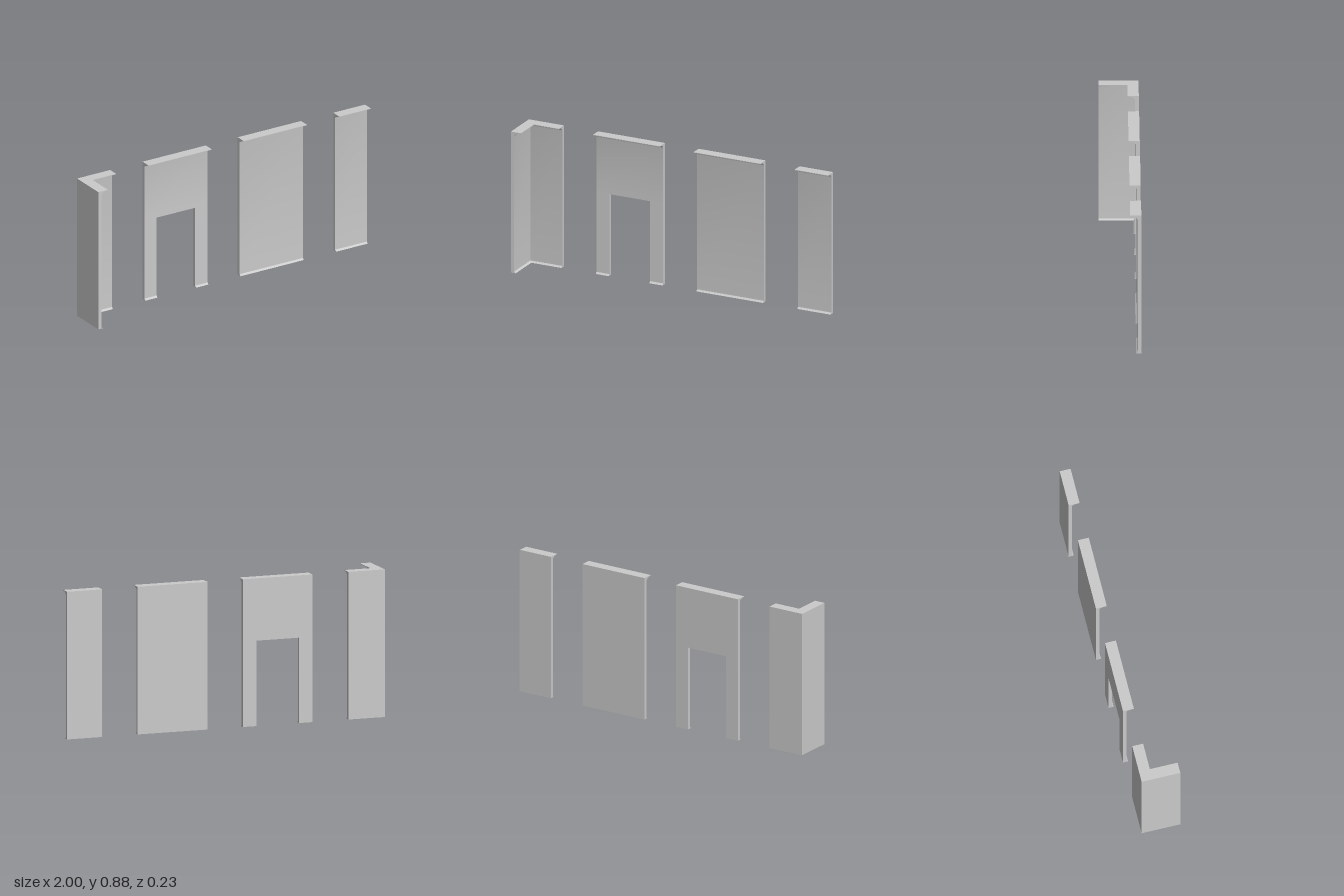
import * as THREE from 'three';
import { toCreasedNormals } from 'three/addons/utils/BufferGeometryUtils.js';

const HEIGHT = 0.882, BACK = -0.117, WALL = 0.021, LIP = 0.066, DOOR_TOP = 0.51;
const material = new THREE.MeshStandardMaterial({ color: 0xcccccc });

// Profile pieces as [depth from the back, height], counter-clockwise
const skirting = [[0, 0], [0.031, 0], [WALL, 0.01]];
const cornice = [];
for (let i = 0; i <= 8; i++) {
  const a = (i / 8) * Math.PI / 2;
  cornice.push([LIP - (LIP - WALL) * Math.cos(a), 0.855 + 0.024 * Math.sin(a)]);
}
cornice.push([LIP, HEIGHT], [0, HEIGHT]);
const fullProfile = [...skirting, ...cornice];
const jambProfile = [[0, DOOR_TOP], ...skirting, [WALL, DOOR_TOP]];
const headerProfile = [[WALL, DOOR_TOP], ...cornice, [0, DOOR_TOP]];

// Sweeps a profile through stations, each mapping depth to [x, z];
// an open sweep leaves out the profile's closing edge
function sweep(name, profile, stations, open = false) {
  const pos = [];
  const n = profile.length;
  const put = (s, i) => {
    const [d, y] = profile[i % n];
    const [x, z] = stations[s](d);
    pos.push(x, y, z);
  };
  for (let s = 0; s < stations.length - 1; s++) {
    for (let i = 0; i < (open ? n - 1 : n); i++) {
      put(s, i); put(s + 1, i + 1); put(s, i + 1);
      put(s, i); put(s + 1, i); put(s + 1, i + 1);
    }
  }
  // End caps
  const outline = profile.map(([d, y]) => new THREE.Vector2(d, y));
  for (const [a, b, c] of THREE.ShapeUtils.triangulateShape(outline, [])) {
    put(0, a); put(0, b); put(0, c);
    const e = stations.length - 1;
    put(e, a); put(e, c); put(e, b);
  }
  const geometry = new THREE.BufferGeometry();
  geometry.setAttribute('position', new THREE.Float32BufferAttribute(pos, 3));
  const mesh = new THREE.Mesh(toCreasedNormals(geometry, 0.5), material);
  mesh.name = name;
  return mesh;
}

// Station across a wall that runs along x
const at = (x) => (d) => [x, BACK + d];

export function createModel() {
  const group = new THREE.Group();
  group.name = 'wallPanels';

  // Corner wall with mitred skirting and cornice
  group.add(sweep('cornerWall', fullProfile, [
    (d) => [-1 + d, -BACK],
    (d) => [-1 + d, BACK + d],
    at(-0.77),
  ]));

  // Doorway wall: two jambs, the wall above and the underside of the opening
  const doorway = new THREE.Group();
  doorway.name = 'doorwayWall';
  const [x0, x1, x2, x3] = [-0.545, -0.46, -0.193, -0.106];
  doorway.add(
    sweep('rightJamb', jambProfile, [at(x0), at(x1)], true),
    sweep('leftJamb', jambProfile, [at(x2), at(x3)], true),
    sweep('doorHeader', headerProfile, [at(x0), at(x3)], true),
  );
  const lintel = new THREE.Mesh(new THREE.PlaneGeometry(x2 - x1, WALL).rotateX(Math.PI / 2), material);
  lintel.name = 'lintelUnderside';
  lintel.position.set((x1 + x2) / 2, DOOR_TOP, BACK + WALL / 2);
  doorway.add(lintel);
  group.add(doorway);

  // Plain straight walls
  group.add(sweep('wideWall', fullProfile, [at(0.116), at(0.556)]));
  group.add(sweep('narrowWall', fullProfile, [at(0.78), at(1)]));
  return group;
}
